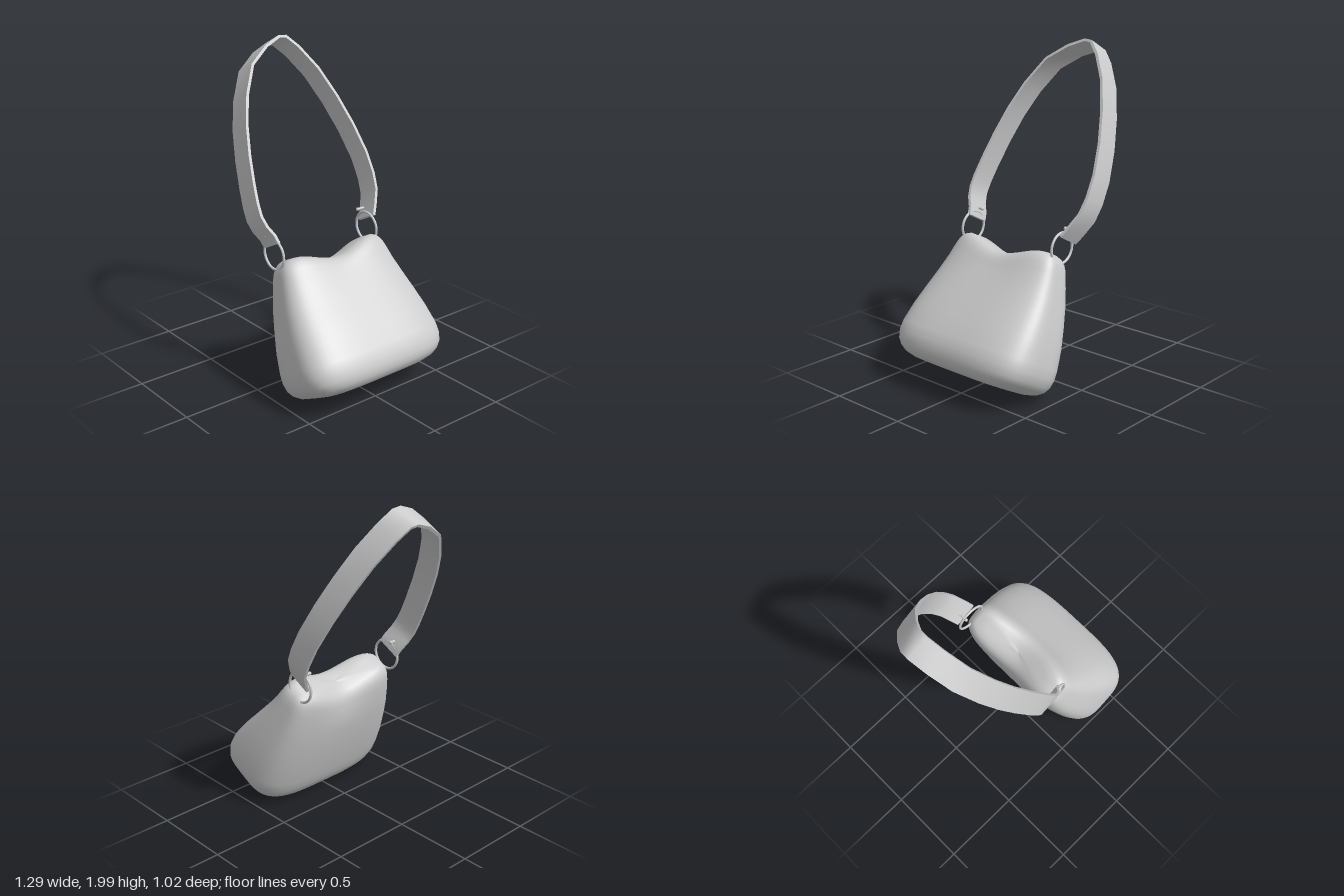
import * as THREE from 'three';

const TILT = THREE.MathUtils.degToRad(28);
const MID = 0.42; // centre line of the bag in the tilted frame
const mat = new THREE.MeshStandardMaterial({ color: 0xcccccc });

function part(name, geometry, parent) {
  const mesh = new THREE.Mesh(geometry, mat);
  mesh.name = name;
  parent.add(mesh);
  return mesh;
}

// Soft pouch: rounded-rectangle rings [height, half thickness, half length, centre]
function bodyGeometry() {
  const rows = [
    [-0.115, 0.001, 0.001, 0.43], [-0.115, 0.07, 0.13, 0.43], [-0.113, 0.14, 0.27, 0.43],
    [-0.108, 0.19, 0.37, 0.435], [-0.092, 0.228, 0.43, 0.437], [-0.065, 0.253, 0.47, 0.438],
    [-0.03, 0.268, 0.495, 0.44], [0.02, 0.274, 0.508, 0.441], [0.08, 0.27, 0.508, 0.44],
    [0.2, 0.247, 0.492, 0.43], [0.32, 0.217, 0.467, 0.42], [0.44, 0.186, 0.438, 0.412],
    [0.54, 0.16, 0.411, 0.412], [0.6, 0.145, 0.396, 0.417], [0.64, 0.134, 0.384, 0.42],
    [0.67, 0.121, 0.37, 0.423], [0.692, 0.104, 0.35, 0.426], [0.706, 0.08, 0.32, 0.428],
    [0.712, 0.05, 0.24, 0.43], [0.713, 0.025, 0.12, 0.43], [0.713, 0.001, 0.001, 0.43],
  ];
  const N = 96, n = 3.6, pos = [], index = [];
  rows.forEach(([v, hu, hz, c], i) => {
    for (let j = 0; j < N; j++) {
      const a = (j / N) * Math.PI * 2, cu = Math.cos(a), cz = Math.sin(a);
      const r = (Math.abs(cu) ** n + Math.abs(cz) ** n) ** (-1 / n);
      const z = hz * r * cz;
      // the top rim sags in the middle
      const sag = 0.07 * THREE.MathUtils.smoothstep(v, 0.42, 0.7)
        * 0.5 * (1 + Math.cos(Math.PI * Math.min(1, Math.abs(z) / 0.31)));
      pos.push(c + hu * r * cu, v - sag, z);
      if (i < rows.length - 1) {
        const p = i * N + j, q = i * N + (j + 1) % N;
        index.push(p, p + N, q, q, p + N, q + N);
      }
    }
  });
  const g = new THREE.BufferGeometry();
  g.setAttribute('position', new THREE.Float32BufferAttribute(pos, 3));
  g.setIndex(index);
  g.computeVertexNormals();
  return g;
}

// Flat strap: a segmented box bent along a path of [z, height]
function strapGeometry() {
  const path = [
    [0.36, 0.81], [0.372, 0.86], [0.405, 0.92], [0.421, 0.985], [0.419, 1.06], [0.405, 1.17],
    [0.375, 1.34], [0.33, 1.52], [0.265, 1.69], [0.165, 1.86], [0.03, 1.955], [-0.08, 2.0],
    [-0.13, 1.995], [-0.2, 1.92], [-0.295, 1.77], [-0.37, 1.58], [-0.425, 1.39], [-0.46, 1.2],
    [-0.463, 1.06], [-0.448, 0.96], [-0.4, 0.865], [-0.368, 0.81],
  ].map(([z, v]) => new THREE.Vector2(z, v));
  const last = path.length - 1;
  const g = new THREE.BoxGeometry(0.155, 1, 0.018, 1, last, 1);
  const p = g.attributes.position;
  for (let i = 0; i < p.count; i++) {
    const k = Math.round((p.getY(i) + 0.5) * last);
    const t = path[Math.min(k + 1, last)].clone().sub(path[Math.max(k - 1, 0)]).normalize();
    const d = p.getZ(i);
    p.setXYZ(i, p.getX(i) + 0.413, path[k].y - t.x * d, path[k].x + t.y * d);
  }
  g.computeVertexNormals();
  return g;
}

export function createModel() {
  const model = new THREE.Group();
  model.name = 'shoulderBag';
  const bag = new THREE.Group();
  bag.name = 'tiltedBag';
  bag.rotation.z = TILT;
  model.add(bag);

  part('body', bodyGeometry(), bag);
  part('strap', strapGeometry(), bag);

  // Metal ring and rivet at each end of the strap
  for (const [side, z] of [['left', 0.365], ['right', -0.345]]) {
    const ring = part(side + 'Ring', new THREE.TorusGeometry(0.093, 0.008, 10, 40), bag);
    ring.position.set(MID - 0.008, 0.757, z);
    const rivet = new THREE.Group();
    rivet.name = side + 'Rivet';
    rivet.position.set(0.408, 0.874, z);
    bag.add(rivet);
    const pin = part('rivetPin', new THREE.CylinderGeometry(0.008, 0.008, 0.05, 16), rivet);
    pin.rotation.x = Math.PI / 2;
    const head = part('rivetHead', new THREE.SphereGeometry(0.011, 16, 10), rivet);
    head.position.z = -Math.sign(z) * 0.022;
  }
  return model;
}
